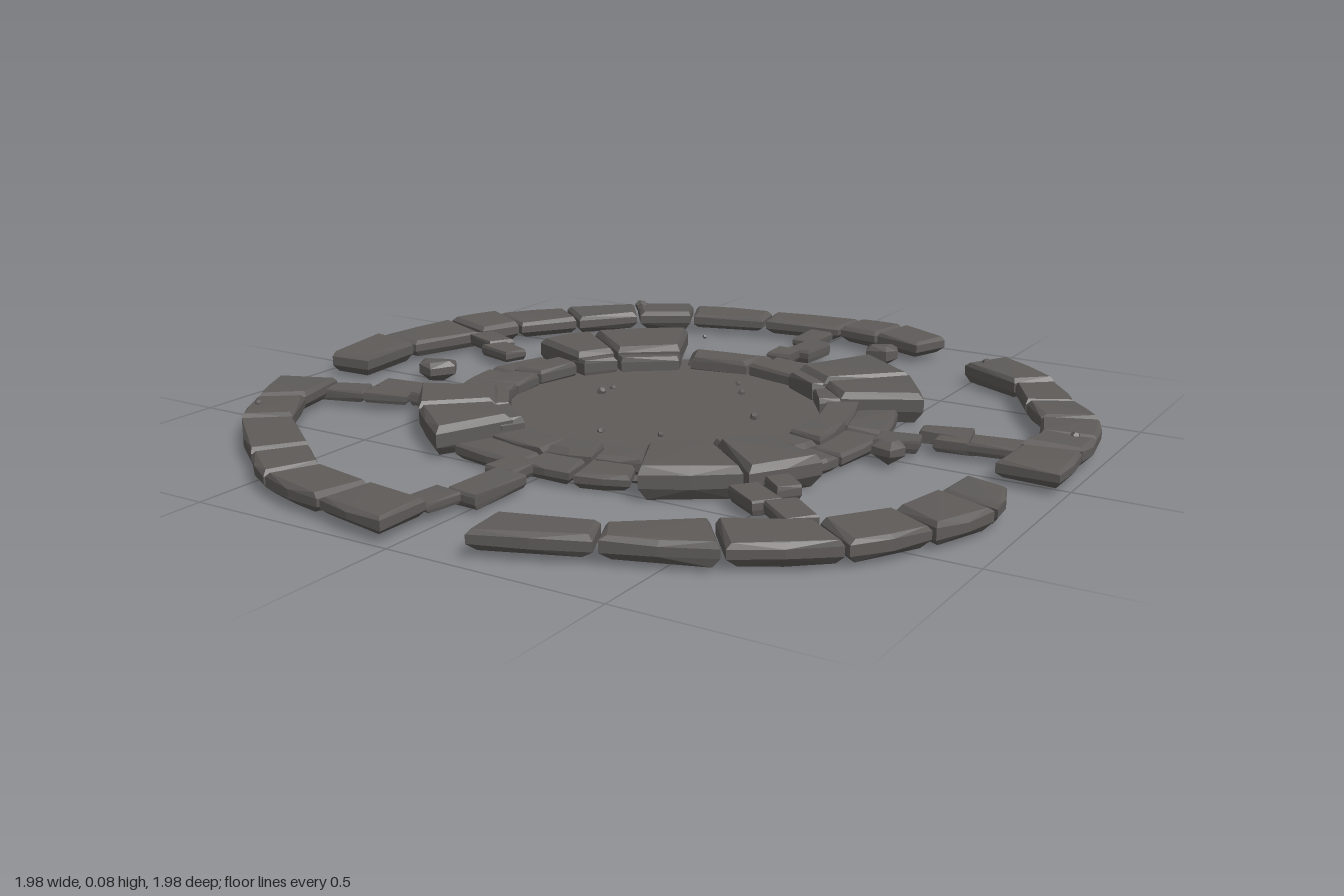
import * as THREE from 'three';
import { ConvexGeometry } from 'three/addons/geometries/ConvexGeometry.js';

export function createModel() {
  const model = new THREE.Group();
  const stone = new THREE.MeshStandardMaterial({ color: 0x5e5b59, flatShading: true });
  stone.name = 'grey stone';

  let seed = 7;
  const rand = (a) => {
    seed = (seed * 16807) % 2147483647;
    return (seed / 2147483647 - 0.5) * 2 * a;
  };
  const add = (parent, name, geometry) => {
    const mesh = new THREE.Mesh(geometry, stone);
    mesh.name = name;
    parent.add(mesh);
    return mesh;
  };
  const group = (name) => {
    const g = new THREE.Group();
    g.name = name;
    model.add(g);
    return g;
  };
  const polar = (deg, r) => {
    const a = THREE.MathUtils.degToRad(deg);
    return [Math.cos(a) * r, Math.sin(a) * r];
  };

  // Chipped block: a convex outline with chamfered top and bottom edges
  function slab(parent, name, outline, y0, y1, bevel, rough = 0.004) {
    const cx = outline.reduce((s, p) => s + p[0], 0) / outline.length;
    const cz = outline.reduce((s, p) => s + p[1], 0) / outline.length;
    const h = y1 - y0;
    const pts = [];
    for (const [x, z] of outline) {
      const d = Math.hypot(x - cx, z - cz);
      const layers = [[y0, bevel * 1.6], [y0 + h * 0.35, 0], [y1 - h * 0.22, 0], [y1, bevel]];
      for (const [y, inset] of layers) {
        const k = Math.max(0.3, 1 - inset / d);
        const j = inset ? rough : 0;
        pts.push(new THREE.Vector3(
          cx + (x - cx) * k + rand(j), y + rand(rough * 0.6), cz + (z - cz) * k + rand(j)));
      }
    }
    return add(parent, name, new ConvexGeometry(pts));
  }

  // Row of blocks between joints given as [angle, inner radius, outer radius]
  function arc(parent, name, joints, y0, y1, bevel, gap = 0.005) {
    for (let i = 0; i < joints.length - 1; i++) {
      const [a, ai, ao] = joints[i], [b, bi, bo] = joints[i + 1];
      const g = (r) => THREE.MathUtils.radToDeg(gap / r);
      const m = (a + b) / 2;
      const bow = Math.cos(THREE.MathUtils.degToRad((b - a) / 2));
      slab(parent, name, [
        polar(a + g(ai), ai), polar(a + g(ao), ao),
        polar(m, (ao + bo) / 2 * (bow + 0.008)),
        polar(b - g(bo), bo), polar(b - g(bi), bi),
      ], y0 + rand(0.004), y1 + rand(0.004), bevel);
    }
  }

  // Broken outer ring in four arcs
  const outer = group('outerRing');
  const arcs = [
    [[173, 0.85, 0.96], [186.8, 0.862, 0.996], [201.3, 0.845, 1.015], [210, 0.86, 1.02],
      [221.5, 0.858, 1.01], [233.5, 0.89, 1.015], [243.5, 0.88, 1.0], [257.5, 0.87, 0.97],
      [272.6, 0.873, 0.996], [281, 0.86, 0.99], [291, 0.857, 0.966]],
    [[305.3, 0.84, 0.96], [318.7, 0.88, 0.985], [329.8, 0.86, 0.975], [338.4, 0.88, 1.01],
      [347, 0.88, 1.005], [352.8, 0.855, 0.988], [363, 0.847, 0.99]],
    [[10.5, 0.84, 0.94], [18.4, 0.86, 1.005], [28, 0.886, 1.01], [39, 0.89, 1.02],
      [51.9, 0.85, 0.985], [65.8, 0.86, 0.95], [80.8, 0.853, 0.975]],
    [[91, 0.856, 0.99], [102.6, 0.854, 0.978], [114, 0.871, 0.995], [123.4, 0.85, 0.975],
      [138.8, 0.866, 0.98], [149.7, 0.86, 0.975], [160.3, 0.83, 0.977]],
  ];
  arcs.forEach((joints) => arc(outer, 'ringBlock', joints, 0.022, 0.068, 0.012));

  // Central floor, with a wider foundation underneath
  const floor = add(model, 'basinFloor', new THREE.CylinderGeometry(0.42, 0.42, 0.014, 40));
  floor.position.y = 0.027;
  const base = add(model, 'foundation', new THREE.CylinderGeometry(0.51, 0.49, 0.012, 24));
  base.position.y = 0.021;

  // Tall corner blocks of the central wall
  const wall = group('centralWall');
  const corners = [
    [[204, 0.4, 0.595], [220, 0.4, 0.615], [245, 0.4, 0.61]],
    [[295, 0.4, 0.625], [316, 0.4, 0.625], [333, 0.42, 0.615]],
    [[24, 0.4, 0.6], [42, 0.4, 0.605], [64, 0.4, 0.59]],
    [[116, 0.4, 0.59], [136, 0.4, 0.58], [155, 0.4, 0.59]],
  ];
  corners.forEach((joints) => arc(wall, 'cornerBlock', joints, 0.015, 0.088, 0.015, 0.006));

  // Low stepped blocks between the corners: outer step, then inner step
  const spans = [[246, 271, 294], [334, 354, 374, 383], [65, 79, 93, 115], [156, 168, 184, 203]];
  for (const span of spans) {
    arc(wall, 'outerStep', span.map((a) => [a, 0.43, 0.545 + rand(0.01)]), 0.016, 0.05, 0.01);
    arc(wall, 'innerStep', span.map((a) => [a + rand(2), 0.385, 0.47 + rand(0.01)]), 0.02, 0.066, 0.009);
  }
  // Narrow lip around the basin, beneath the corner blocks
  for (const joints of corners) {
    arc(wall, 'basinLip', joints.map(([a]) => [a, 0.37, 0.43]), 0.02, 0.072, 0.006);
  }

  // Stepping slabs linking wall and ring: x, z, length in x, length in z, turn in degrees
  const steps = group('steppingSlabs');
  const slabs = [
    [0, -0.79, 0.065, 0.12, 0], [0.05, -0.665, 0.065, 0.12, 6], [0.02, -0.58, 0.07, 0.08, 0],
    [-0.03, 0.56, 0.075, 0.09, 3], [-0.005, 0.68, 0.075, 0.16, 2], [-0.053, 0.8, 0.07, 0.1, 8],
    [-0.74, -0.29, 0.13, 0.075, 25], [-0.64, -0.22, 0.11, 0.07, 22],
    [-0.64, 0.2, 0.12, 0.07, -10], [-0.62, 0.27, 0.11, 0.065, -20],
    [-0.54, 0.22, 0.09, 0.055, -12], [-0.79, 0.31, 0.22, 0.06, -18],
    [0.585, -0.05, 0.1, 0.065, -15], [0.66, -0.145, 0.12, 0.055, -10],
    [0.71, -0.095, 0.1, 0.045, -8], [0.79, -0.115, 0.12, 0.065, -10],
    [0.515, 0.37, 0.08, 0.06, 40], [0.5, 0.46, 0.11, 0.07, 35], [0.6, 0.5, 0.11, 0.07, 40],
  ];
  for (const [x, z, w, d, deg] of slabs) {
    const c = Math.cos(deg * Math.PI / 180), s = Math.sin(deg * Math.PI / 180);
    const outline = [[-1, -1], [1, -1], [1, 1], [-1, 1]].map(([u, v]) => {
      const px = u * w / 2 + rand(0.004), pz = v * d / 2 + rand(0.004);
      return [x + px * c - pz * s, z + px * s + pz * c];
    });
    slab(steps, 'steppingSlab', outline, 0.024 + rand(0.005), 0.054 + rand(0.005), 0.004, 0.003);
  }

  // Loose rocks lying between wall and ring
  const debris = group('looseStones');
  for (const [x, z, r] of [[0.23, -0.74, 0.046], [0.6, 0.03, 0.04], [-0.68, 0.01, 0.055]]) {
    const outline = [0, 65, 130, 200, 285].map((a) => {
      const [px, pz] = polar(a + rand(15), r + rand(0.007));
      return [x + px, z + pz];
    });
    slab(debris, 'looseRock', outline, 0.018, 0.066, 0.018, 0.006);
  }

  // Pebbles on the floor and on the ring: x, y, z, radius
  const pebbles = [
    [0.04, 0.036, -0.29, 0.008], [0.09, 0.036, -0.22, 0.01], [-0.21, 0.036, -0.095, 0.009],
    [-0.21, 0.038, -0.045, 0.012], [0.22, 0.038, -0.05, 0.012], [0.105, 0.036, 0.18, 0.009],
    [-0.03, 0.036, 0.225, 0.009], [-0.275, 0.04, -0.66, 0.006], [-0.575, 0.066, -0.8, 0.018],
    [0.935, 0.066, -0.21, 0.012], [0.54, 0.066, -0.7, 0.014], [-0.78, 0.066, 0.55, 0.01],
  ];
  for (const [x, y, z, r] of pebbles) {
    const pebble = add(debris, 'pebble', new THREE.DodecahedronGeometry(r));
    pebble.position.set(x, y, z);
    pebble.rotation.set(rand(1), rand(3), rand(1));
  }

  return model;
}
